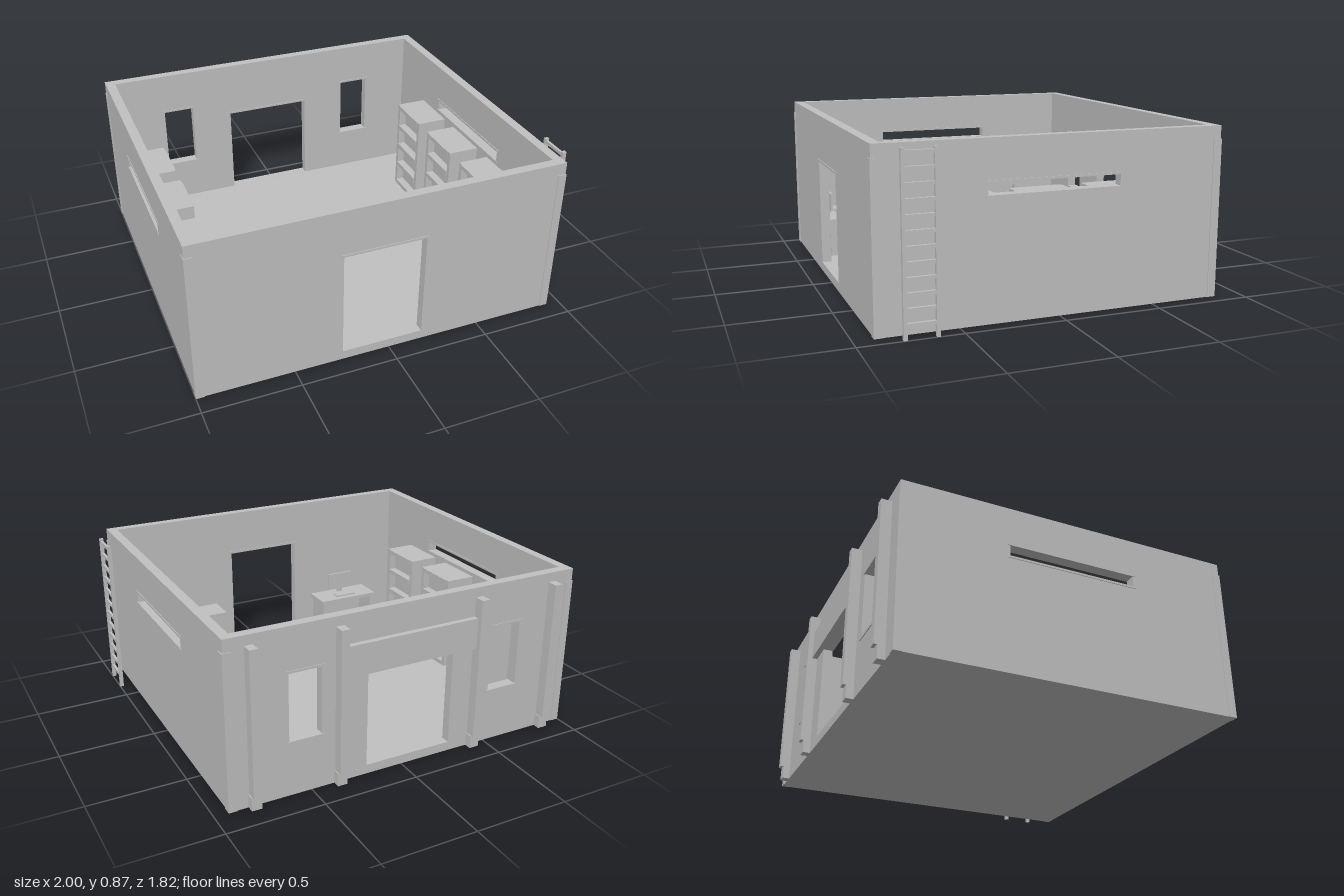
import * as THREE from 'three';

const grey = new THREE.MeshStandardMaterial({ color: 0xc0c0c0 });
grey.name = 'concrete grey';

// Box given by its min and max on each axis
function box(parent, name, [x0, x1], [y0, y1], [z0, z1]) {
  const mesh = new THREE.Mesh(new THREE.BoxGeometry(x1 - x0, y1 - y0, z1 - z0), grey);
  mesh.position.set((x0 + x1) / 2, (y0 + y1) / 2, (z0 + z1) / 2);
  mesh.name = name;
  parent.add(mesh);
  return mesh;
}

function group(parent, name) {
  const g = new THREE.Group();
  g.name = name;
  parent.add(g);
  return g;
}

// Upright slab with rectangular openings [u0, u1, y0, y1]
function wallGeometry(u0, u1, y0, y1, depth, holes) {
  const rect = (p, a, b, c, d) => p.moveTo(a, c).lineTo(b, c).lineTo(b, d).lineTo(a, d).closePath();
  const shape = rect(new THREE.Shape(), u0, u1, y0, y1);
  for (const [a, b, c, d] of holes) shape.holes.push(rect(new THREE.Path(), a, b, c, d));
  return new THREE.ExtrudeGeometry(shape, { depth, bevelEnabled: false });
}

const L = -0.997, R = 0.925, BACK = -0.858, FRONT = 0.9, TOP = 0.87, FLOOR = 0.047, T = 0.05;
const frontDoor = [-0.25, 0.18, FLOOR, 0.617];
const backDoor = [-0.28, 0.2, FLOOR, 0.56];
const windows = [[-0.68, -0.51, 0.29, 0.64], [0.445, 0.615, 0.29, 0.64]];
const slot = [-0.308, 0.362, 0.607, 0.663];

function buildWalls(model) {
  const add = (name, geo) => {
    const mesh = new THREE.Mesh(geo, grey);
    mesh.name = name;
    model.add(mesh);
  };
  box(model, 'floor', [L, R], [0, FLOOR], [BACK, FRONT]);
  add('frontWall', wallGeometry(L, R, FLOOR, TOP, T, [[frontDoor[0], frontDoor[1], FLOOR + 0.001, frontDoor[3]]])
    .translate(0, 0, FRONT - T));
  add('backWall', wallGeometry(L, R, FLOOR, TOP, T,
    [[backDoor[0], backDoor[1], FLOOR + 0.001, backDoor[3]], ...windows]).translate(0, 0, BACK));
  for (const [name, x] of [['leftWall', R], ['rightWall', L + T]]) {
    add(name, wallGeometry(BACK + T, FRONT - T, FLOOR, TOP, T, [slot]).rotateY(-Math.PI / 2).translate(x, 0, 0));
  }
  // Slightly proud corner guards
  for (const [x0, x1] of [[L - 0.003, L + 0.04], [R - 0.04, R + 0.004]]) {
    box(model, 'cornerGuard', [x0, x1], [0, 0.805], [FRONT - 0.04, FRONT + 0.004]);
    box(model, 'cornerGuard', [x0, x1], [0, 0.805], [BACK - 0.004, BACK + 0.04]);
  }
}

function buildTrim(model) {
  // Lintels and sills running through the walls
  const e = 0.004, w = 0.012;
  for (const [a, b, c, d] of windows) {
    box(model, 'windowLintel', [a - w, b + w], [d, d + 0.012], [BACK - e, BACK + T + e]);
    box(model, 'windowSill', [a - w, b + w], [c - 0.012, c], [BACK - e, BACK + T + e]);
  }
  for (const [x0, x1] of [[L - 0.003, L + T + e], [R - T - e, R + 0.004]]) {
    box(model, 'slotLintel', [x0, x1], [slot[3], slot[3] + 0.012], [slot[0] - w, slot[1] + w]);
    box(model, 'slotSill', [x0, x1], [slot[2] - 0.012, slot[2]], [slot[0] - w, slot[1] + w]);
  }
  box(model, 'frontDoorLintel', [frontDoor[0] - w, frontDoor[1] + w], [0.617, 0.629], [FRONT - T - e, FRONT + e]);
  box(model, 'backDoorLintel', [backDoor[0], backDoor[1]], [0.56, 0.572], [BACK, BACK + T + e]);

  // Buttresses on the back with a header panel between the middle pair
  for (const x of [-0.867, -0.418, 0.352, 0.802]) {
    box(model, 'buttressFoot', [x - 0.026, x + 0.026], [0, 0.07], [-0.896, BACK]);
    box(model, 'buttress', [x - 0.021, x + 0.021], [0.07, 0.82], [-0.912, BACK]);
  }
  box(model, 'headerPanel', [-0.4, 0.335], [0.56, 0.72], [-0.886, BACK]);
}

function buildLadder(model) {
  const ladder = group(model, 'ladder');
  for (const z of [0.625, 0.778]) box(ladder, 'ladderRail', [0.98, 1], [0, 0.855], [z - 0.009, z + 0.009]);
  for (let i = 0; i < 12; i++) {
    const y = 0.069 + i * 0.0698;
    box(ladder, 'ladderRung', [0.983, 0.997], [y - 0.008, y + 0.008], [0.63, 0.773]);
  }
}

// Tall shelf unit, front facing +x, back on x = 0
function buildShelfUnit(parent) {
  const unit = group(parent, 'shelfUnit');
  const h = 0.54, d = 0.17, half = 0.139, side = 0.024;
  box(unit, 'shelfBack', [0, d - 0.04], [0, h], [-half, half]);
  for (const s of [-1, 1]) {
    const z = s * (half - side / 2);
    box(unit, 'shelfSide', [d - 0.04, d], [0, h], [z - side / 2, z + side / 2]);
  }
  for (let i = 0; i < 5; i++) {
    const y = i * (h - 0.025) / 4;
    box(unit, 'shelfBoard', [d - 0.04, d + 0.004], [y, y + 0.025], [-half + side, half - side]);
  }
  return unit;
}

function buildFurniture(model) {
  for (const z of [-0.35, 0.032, 0.417]) {
    buildShelfUnit(model).position.set(-0.94, FLOOR, z);
    const opposite = buildShelfUnit(model);
    opposite.position.set(0.868, FLOOR, z);
    opposite.rotation.y = Math.PI;
  }

  // Low cupboard with two handles
  const cupboard = group(model, 'cupboard');
  box(cupboard, 'cupboardBody', [0.305, 0.65], [FLOOR, 0.3], [0.675, 0.83]);
  box(cupboard, 'cupboardTop', [0.3, 0.655], [0.3, 0.315], [0.67, 0.832]);
  for (const x of [0.39, 0.563]) box(cupboard, 'cupboardHandle', [x - 0.03, x + 0.03], [0.21, 0.218], [0.667, 0.676]);

  // Desk with screen and keyboard
  const desk = group(model, 'desk');
  box(desk, 'deskTop', [-0.738, -0.358], [0.24, 0.26], [0.665, 0.836]);
  for (const x of [-0.728, -0.388]) box(desk, 'deskSide', [x, x + 0.02], [FLOOR, 0.24], [0.675, 0.826]);
  box(desk, 'deskBack', [-0.708, -0.388], [0.1, 0.24], [0.81, 0.825]);
  box(desk, 'keyboard', [-0.615, -0.482], [0.26, 0.268], [0.702, 0.753]);
  box(desk, 'screen', [-0.63, -0.465], [0.285, 0.385], [0.788, 0.8]);
  box(desk, 'screenStand', [-0.565, -0.53], [0.26, 0.285], [0.789, 0.799]);
}

export function createModel() {
  const model = new THREE.Group();
  model.name = 'outpostRoom';
  buildWalls(model);
  buildTrim(model);
  buildLadder(model);
  buildFurniture(model);
  return model;
}
